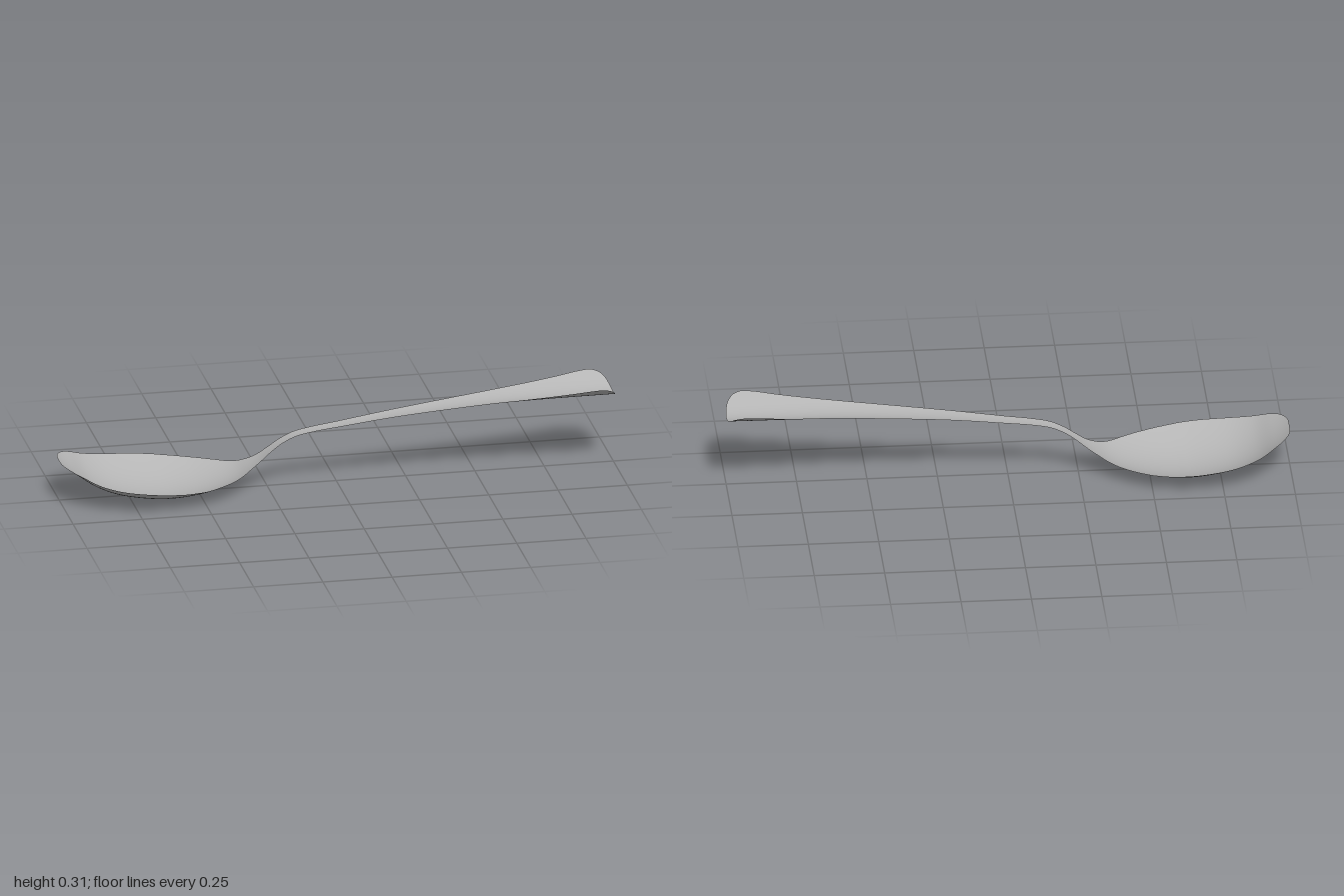
import * as THREE from 'three';

// Stations along the spoon: x, height of the centre line, half width
const stations = [
  [-1, 0.147, 0], [-0.997, 0.144, 0.055], [-0.975, 0.127, 0.103], [-0.94, 0.102, 0.137],
  [-0.88, 0.06, 0.174], [-0.8, 0.026, 0.203], [-0.68, 0.003, 0.219], [-0.6, 0, 0.212],
  [-0.5, 0.012, 0.182], [-0.42, 0.032, 0.137], [-0.36, 0.055, 0.09], [-0.32, 0.078, 0.06],
  [-0.28, 0.104, 0.04], [-0.24, 0.135, 0.03], [-0.2, 0.163, 0.027], [-0.15, 0.186, 0.027],
  [-0.08, 0.2, 0.028], [0, 0.21, 0.03], [0.2, 0.234, 0.04], [0.4, 0.25, 0.055],
  [0.6, 0.26, 0.073], [0.8, 0.262, 0.097], [0.9, 0.262, 0.11], [0.94, 0.262, 0.111],
  [0.97, 0.262, 0.1], [0.988, 0.262, 0.078], [0.997, 0.262, 0.045], [1, 0.262, 0],
];

export function createModel() {
  const group = new THREE.Group();
  group.name = 'spoon';
  const metal = new THREE.MeshStandardMaterial({ color: 0xb4b4b4, side: THREE.DoubleSide });
  metal.name = 'grey metal';

  const spine = new THREE.CatmullRomCurve3(
    stations.map(([x, y, w]) => new THREE.Vector3(x, y, w)), false, 'centripetal');

  // One continuous sheet: every cross-section is a shallow upward curve
  const sheet = new THREE.PlaneGeometry(1, 1, (stations.length - 1) * 6, 28);
  const pos = sheet.attributes.position;
  const p = new THREE.Vector3();
  for (let i = 0; i < pos.count; i++) {
    spine.getPoint(THREE.MathUtils.clamp(pos.getX(i) + 0.5, 0, 1), p);
    const z = -2 * pos.getY(i) * Math.max(p.z, 0);
    // The curl is gentle in the bowl and tightens towards the handle end
    const curl = THREE.MathUtils.mapLinear(Math.max(p.x, -0.5), -0.5, 1, 1.48, 4.1);
    pos.setXYZ(i, p.x, Math.max(p.y, 0) + curl * z * z, z);
  }
  sheet.computeVertexNormals();

  const body = new THREE.Mesh(sheet, metal);
  body.name = 'bowlAndHandle';
  group.add(body);
  return group;
}
